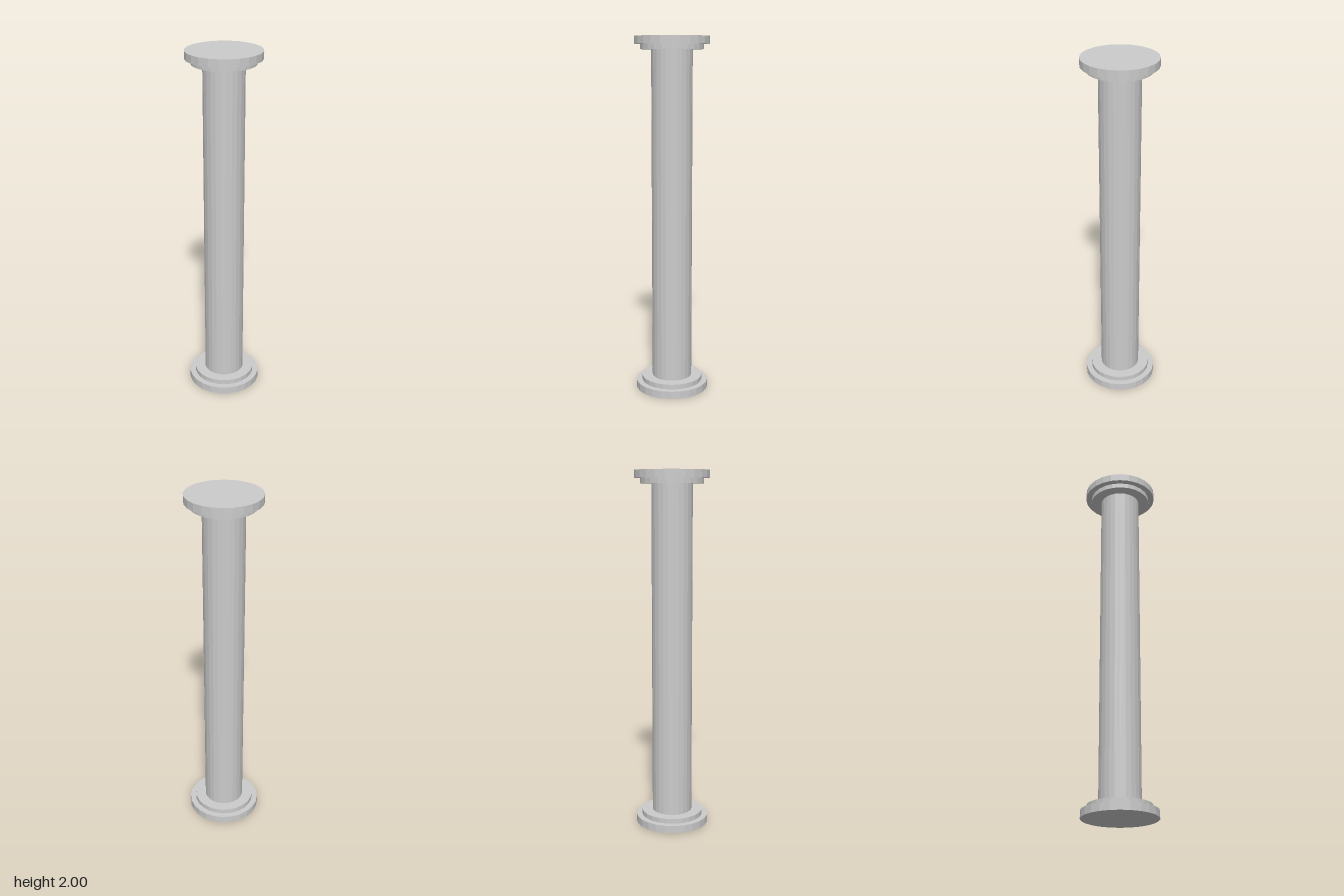
import * as THREE from 'three';

const SIDES = 24;

export function createModel() {
  const model = new THREE.Group();
  model.name = 'column';
  const material = new THREE.MeshStandardMaterial({ color: 0xcccccc, flatShading: true });

  // Upright drum between two heights
  function drum(name, radius, bottom, top) {
    const height = top - bottom;
    const mesh = new THREE.Mesh(new THREE.CylinderGeometry(radius, radius, height, SIDES), material);
    mesh.name = name;
    mesh.position.y = bottom + height / 2;
    model.add(mesh);
  }

  // Stepped base
  drum('basePlate', 0.206, 0, 0.043);
  drum('baseRing', 0.173, 0.043, 0.071);

  // Plain shaft
  drum('shaft', 0.113, 0.071, 1.929);

  // Stepped capital, mirroring the base
  drum('capitalRing', 0.173, 1.929, 1.957);
  drum('capitalPlate', 0.206, 1.957, 2);

  return model;
}
